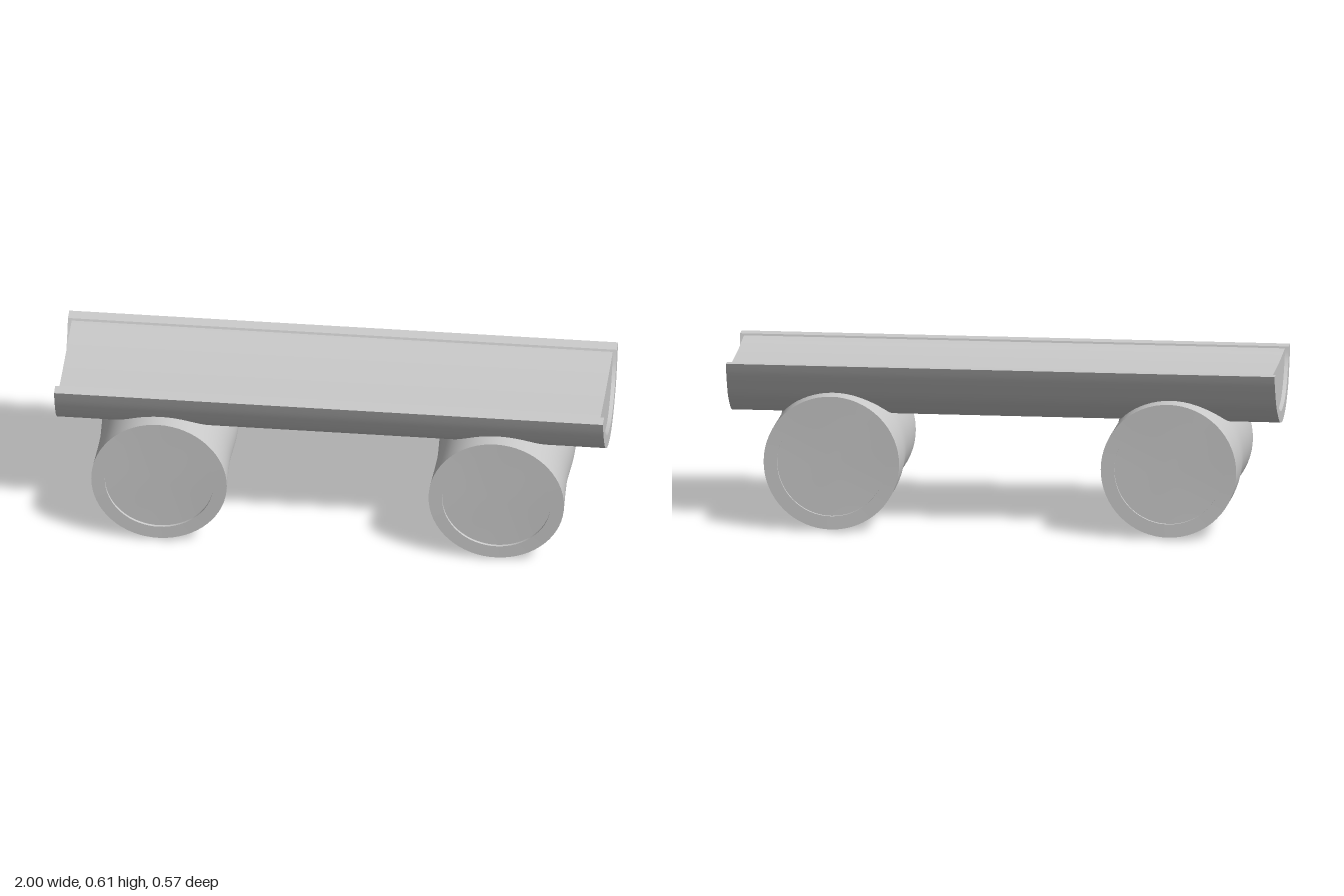
import * as THREE from 'three';
import { toCreasedNormals } from 'three/addons/utils/BufferGeometryUtils.js';

const material = new THREE.MeshStandardMaterial({ color: 0xcccccc });

function part(name, geometry) {
  const mesh = new THREE.Mesh(toCreasedNormals(geometry, 0.6), material);
  mesh.name = name;
  return mesh;
}

// Smooth curve through [z, y] points, with z running to the left of the shape
function curve(points, divisions) {
  return new THREE.SplineCurve(points.map(([z, y]) => new THREE.Vector2(-z, y))).getPoints(divisions);
}

// Extrude a cross-section along x, centred on x = 0
function alongX(outline, length) {
  const geometry = new THREE.ExtrudeGeometry(new THREE.Shape(outline), {
    depth: length, bevelEnabled: false,
  });
  return geometry.translate(0, 0, -length / 2).rotateY(Math.PI / 2);
}

// Log lying along z: bark sleeve with a slight waist, rim and recessed end wood
function logGeometry() {
  const half = 0.284, recess = 0.274, inner = 0.198;
  const side = new THREE.SplineCurve([
    [0.247, -half], [0.246, -0.1], [0.239, 0.08], [0.247, half],
  ].map(p => new THREE.Vector2(...p))).getPoints(20);
  const profile = [
    new THREE.Vector2(0, -recess), new THREE.Vector2(inner, -recess), new THREE.Vector2(inner, -half),
    ...side,
    new THREE.Vector2(inner, half), new THREE.Vector2(inner, recess), new THREE.Vector2(0, recess),
  ];
  const geometry = new THREE.LatheGeometry(profile, 64).rotateX(Math.PI / 2);
  // Let the log sag a little behind its middle, and its ends wave slightly
  const p = geometry.attributes.position;
  for (let i = 0; i < p.count; i++) {
    const x = p.getX(i), y = p.getY(i), z = p.getZ(i);
    p.setY(i, y - 0.008 * Math.exp(-(((z + 0.1) / 0.12) ** 2)));
    if (Math.abs(z) > 0.27) {
      p.setZ(i, z + 0.003 * Math.sin(2 * Math.atan2(y, x) + 0.6) * Math.hypot(x, y) / 0.247);
    }
  }
  return geometry;
}

export function createModel() {
  const group = new THREE.Group();
  group.name = 'logBench';

  const outer = curve([
    [0.275, 0.613], [0.253, 0.556], [0.229, 0.508], [0.199, 0.467], [0.154, 0.43],
    [0.11, 0.406], [0.056, 0.39], [0.006, 0.386], [-0.05, 0.394], [-0.096, 0.411],
    [-0.145, 0.443], [-0.194, 0.484], [-0.229, 0.538], [-0.247, 0.573], [-0.263, 0.612],
  ], 42);
  const innerPoints = [
    [0.217, 0.574], [0.19, 0.529], [0.146, 0.481], [0.088, 0.447], [0.003, 0.431],
    [-0.042, 0.434], [-0.096, 0.454], [-0.149, 0.494], [-0.185, 0.538], [-0.208, 0.583],
  ];

  // Half shell of bark
  const inner = curve([[0.228, 0.613], ...innerPoints, [-0.219, 0.609]], 42);
  group.add(part('seatBark', alongX([...outer, ...inner.reverse()], 2)));

  // Wood inside the bark, with a slightly hollow flat top and ends set back
  const bottom = curve([[0.226, 0.606], ...innerPoints, [-0.216, 0.601]], 42);
  const top = curve([[-0.216, 0.602], [-0.13, 0.599], [0.06, 0.599], [0.226, 0.607]], 12);
  group.add(part('seatWood', alongX([...bottom, ...top.slice(1, -1)], 1.972)));

  // Two short logs across as legs
  const log = logGeometry();
  for (const [name, x] of [['leftLeg', 0.613], ['rightLeg', -0.616]]) {
    const leg = part(name, log);
    leg.position.set(x, 0.258, 0);
    group.add(leg);
  }
  return group;
}
